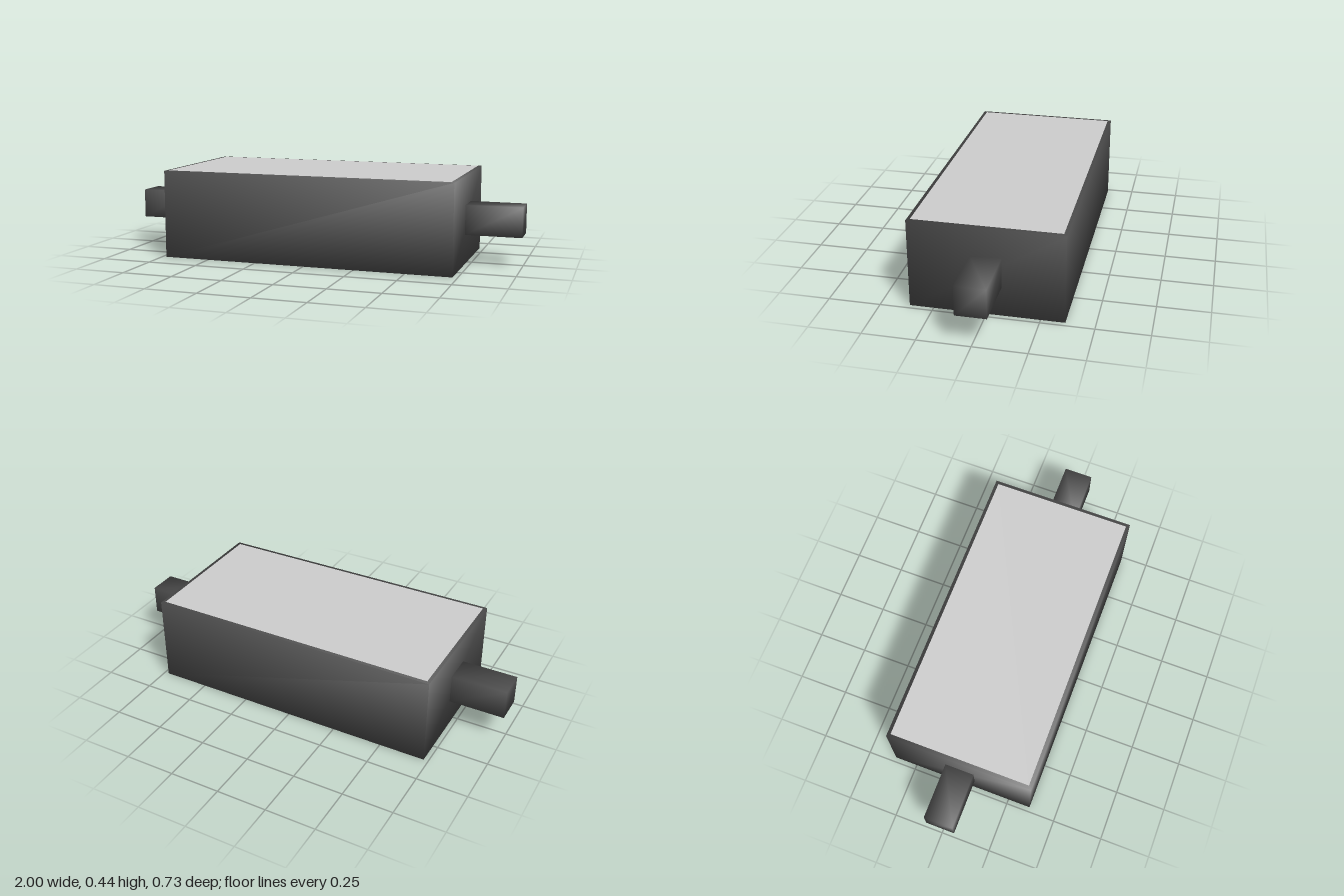
import * as THREE from 'three';
import { mergeVertices } from 'three/addons/utils/BufferGeometryUtils.js';

const W = 1.454, H = 0.437, D = 0.727;   // body size
const BAR = 0.145, BAR_Y = 0.22;         // side bar section and height
const RIM = 0.016, LIFT = 0.001;         // dark rim around the panels

const dark = new THREE.MeshStandardMaterial({ color: 0x484848 });
const grey = new THREE.MeshStandardMaterial({ color: 0xcccccc });

// Box with normals shared across its corners, for soft shading
function softBox(w, h, d) {
  const g = new THREE.BoxGeometry(w, h, d);
  g.deleteAttribute('normal');
  g.deleteAttribute('uv');
  const merged = mergeVertices(g);
  merged.computeVertexNormals();
  return merged;
}

export function createModel() {
  const model = new THREE.Group();
  const add = (name, geometry, material, x, y, z) => {
    const mesh = new THREE.Mesh(geometry, material);
    mesh.name = name;
    mesh.position.set(x, y, z);
    model.add(mesh);
    return mesh;
  };

  // Main block
  add('body', softBox(W, H - 2 * LIFT, D), dark, 0, H / 2, 0);

  // Inset panels on top and bottom
  const panel = new THREE.PlaneGeometry(W - 2 * RIM, D - 2 * RIM);
  add('topPanel', panel, grey, 0, H, 0).rotation.x = -Math.PI / 2;
  add('bottomPanel', panel, grey, 0, 0, 0).rotation.x = Math.PI / 2;

  // Square bars sticking out of both ends
  const length = 1 - W / 2;
  const bar = softBox(length, BAR, BAR);
  for (const [name, side] of [['leftBar', 1], ['rightBar', -1]]) {
    add(name, bar, dark, side * (1 - length / 2), BAR_Y, 0);
  }

  return model;
}
